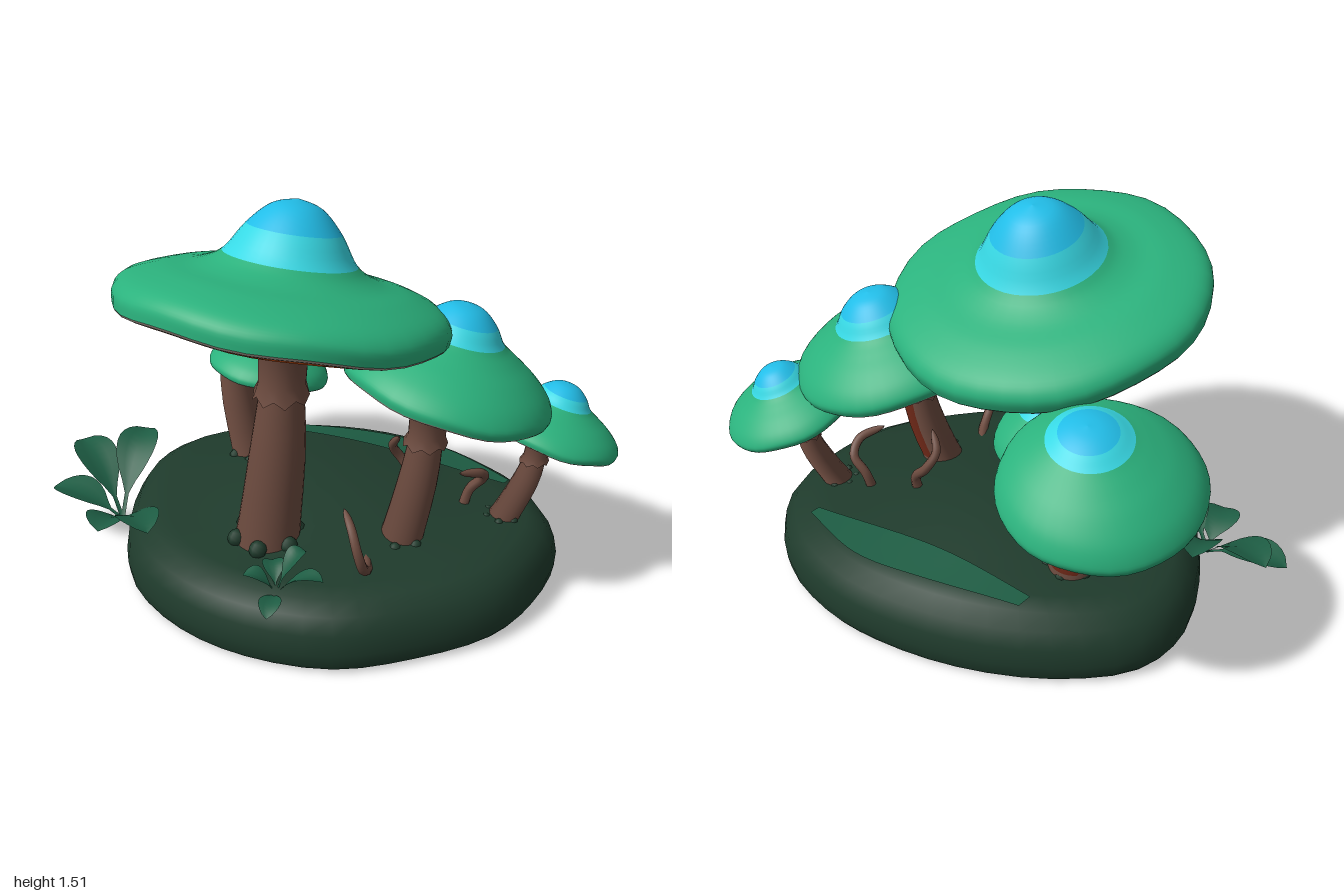
import * as THREE from 'three';

const V = (x, y, z) => new THREE.Vector3(x, y, z);
const paint = (name, color, side = THREE.FrontSide) => {
  const m = new THREE.MeshStandardMaterial({ color, side });
  m.name = name;
  return m;
};

const mats = {
  cap: paint('cap green', 0x2bb27d),
  cyan: paint('light cyan', 0x37d8e4),
  blue: paint('crown blue', 0x22bfea),
  gills: paint('gill orange brown', 0xd8530c),
  lip: paint('lip grey', 0xa3958a),
  stem: paint('stem brown', 0x6e4c40, THREE.DoubleSide),
  red: paint('stem red brown', 0x6a2616, THREE.DoubleSide),
  soil: paint('dark moss', 0x1f3b2c),
  leaf: paint('leaf green', 0x1d5c43, THREE.DoubleSide),
  under: paint('underside brown', 0x50291e),
};

function mesh(name, geometry, material) {
  const m = new THREE.Mesh(geometry, material);
  m.name = name;
  return m;
}

// Moves every vertex by a rule
function warp(geo, rule) {
  const p = geo.attributes.position, v = V(0, 0, 0);
  for (let i = 0; i < p.count; i++) {
    v.fromBufferAttribute(p, i);
    rule(v, i);
    p.setXYZ(i, v.x, v.y, v.z);
  }
  return geo;
}

// Height of the mossy ground
const ground = (x, z) => 0.24 + 0.095 * Math.exp(-(x * x + (z + 0.1) ** 2) / 0.25);

// Rounded mound with an egg-shaped outline
function makeGround() {
  const outline = new THREE.CatmullRomCurve3([
    [0.87, -0.2], [0.85, 0.05], [0.7, 0.33], [0.5, 0.56], [0.2, 0.69], [-0.1, 0.71], [-0.4, 0.62], [-0.63, 0.41],
    [-0.82, 0.08], [-0.82, -0.18], [-0.62, -0.44], [-0.32, -0.64], [0, -0.75], [0.25, -0.775], [0.55, -0.71], [0.8, -0.5],
  ].map(([x, z]) => V(x, 0, z)), true);
  const N = 48, rim = outline.getPoints(N).slice(0, N);
  const skin = (rings) => {
    const pos = [], idx = [];
    rings.forEach(([s, y]) => rim.forEach((p) => {
      const x = p.x * s, z = p.z * s;
      pos.push(x, typeof y === 'number' ? y : y(x, z), z);
    }));
    for (let j = 0; j < rings.length - 1; j++) for (let i = 0; i < N; i++) {
      const a = j * N + i, b = j * N + (i + 1) % N;
      idx.push(a, a + N, b, b, a + N, b + N);
    }
    const g = new THREE.BufferGeometry();
    g.setAttribute('position', new THREE.Float32BufferAttribute(pos, 3));
    g.setIndex(idx);
    g.computeVertexNormals();
    return g;
  };
  const g = new THREE.Group();
  g.name = 'ground';
  g.add(mesh('mossyMound', skin([[0.975, 0.012], [0.99, 0.03], [1, 0.08], [0.985, 0.15], [0.94, 0.21],
    [0.87, (x, z) => ground(x, z) * 0.985],
    ...[0.77, 0.66, 0.55, 0.44, 0.33, 0.22, 0.11, 0.001].map((s) => [s, ground])]), mats.soil));
  g.add(mesh('groundUnderside', skin([[0.001, 0], [0.94, 0], [0.975, 0.012]]), mats.under));

  // Lighter moss patch lying on the back of the mound
  const edge = (pts) => new THREE.SplineCurve(pts.map((p) => new THREE.Vector2(...p)));
  const outer = edge([[-0.45, -0.44], [-0.1, -0.58], [0.2, -0.65], [0.52, -0.6]]);
  const inner = edge([[-0.45, -0.38], [-0.1, -0.43], [0.2, -0.49], [0.52, -0.56]]);
  const patch = warp(new THREE.PlaneGeometry(1, 1, 24, 6), (v) => {
    const t = v.x + 0.5, q = inner.getPoint(t).lerp(outer.getPoint(t), v.y + 0.5);
    v.set(q.x, ground(q.x, q.y) + 0.007, q.y);
  });
  patch.computeVertexNormals();
  g.add(mesh('mossPatch', patch, mats.leaf));
  return g;
}

// Cap profiles in units of the cap radius: rim first, crown last
const profile = (pts) => new THREE.SplineCurve(pts.map((p) => new THREE.Vector2(...p))).getPoints(40);
const brimmed = profile([[1, 0], [1.005, 0.09], [0.93, 0.17], [0.75, 0.24], [0.55, 0.285],
  [0.405, 0.365], [0.285, 0.54], [0.15, 0.67], [0, 0.715]]);
const peaked = profile([[1, 0], [1.01, 0.08], [0.92, 0.2], [0.76, 0.32], [0.58, 0.42],
  [0.43, 0.51], [0.32, 0.645], [0.17, 0.755], [0, 0.79]]);
const domed = profile([[1, 0], [1.01, 0.09], [0.92, 0.24], [0.76, 0.38], [0.58, 0.49],
  [0.42, 0.575], [0.29, 0.655], [0.15, 0.705], [0, 0.725]]);

function makeCap({ center, slope, r, shape, tall = 1, shift = [0, 0], phase }) {
  const cap = new THREE.Group();
  cap.name = 'cap';
  const ring = (name, pts, mat) => {
    const geo = new THREE.LatheGeometry(pts.map((p) => new THREE.Vector2(Math.max(p.x, 0) * r, p.y * r * tall)), 40);
    // Wavy rim and a crown that sits a little off centre
    warp(geo, (v) => {
      const d = Math.hypot(v.x, v.z) / r, a = Math.atan2(v.x, v.z), k = v.y > 0 ? Math.max(0, 1 - d * d) : 0;
      v.y += r * d ** 4 * (0.01 * Math.sin(3 * a + phase) + 0.01 * Math.sin(7 * a + 2 * phase));
      v.x += shift[0] * k;
      v.z += shift[1] * k;
    });
    cap.add(mesh(name, geo, mat));
  };
  const flat = (...pts) => pts.map(([x, y]) => ({ x, y }));
  ring('gills', flat([0, -0.1], [0.3, -0.1], [0.6, -0.09], [0.8, -0.07], [0.97, -0.022]), mats.gills);
  ring('capLip', flat([0.97, -0.022], [0.99, -0.014], [1, 0.002]), mats.lip);
  ring('capBrim', shape.slice(0, 26), mats.cap);
  ring('capBand', shape.slice(25, 31), mats.cyan);
  ring('capCrown', shape.slice(30), mats.blue);
  cap.position.set(...center);
  cap.quaternion.setFromUnitVectors(V(0, 1, 0), V(-slope[0], 1, -slope[1]).normalize());
  return cap;
}

function makeStem({ base, top, r0, r1, stain }) {
  const stem = new THREE.Group();
  stem.name = 'stem';
  const h = top[1] - base[1];
  // Leans the upright stem from its foot to its head
  const lean = (geo) => warp(geo, (v) => {
    const t = v.y / h, s = t + 0.18 * Math.sin(Math.PI * t);
    v.set(v.x + base[0] + (top[0] - base[0]) * s, v.y + base[1], v.z + base[2] + (top[2] - base[2]) * s);
  });
  const shaft = [[1.2, 0], [1.02, 0.12], [0.9, 0.25], [0.75, 0.4], [0.5, 0.55], [0.15, 0.72], [0, 0.85], [0.1, 1]]
    .map(([k, t]) => new THREE.Vector2(r1 + (r0 - r1) * k, t * h));
  const part = (name, pts, mat, start, length) =>
    stem.add(mesh(name, lean(new THREE.LatheGeometry(pts, 18, start, length)), mat));
  part('stemShaft', shaft, mats.stem, Math.PI + stain, 2 * (Math.PI - stain));
  // Reddish stain up the back, between foot and collar
  if (stain) {
    part('stemBackFoot', shaft.slice(0, 2), mats.stem, Math.PI - stain, 2 * stain);
    part('stemBackStain', shaft.slice(1, 6), mats.red, Math.PI - stain, 2 * stain);
    part('stemBackHead', shaft.slice(5), mats.stem, Math.PI - stain, 2 * stain);
  }

  // Ragged collar under the cap
  const skirt = [[1.38, 0.68], [1.15, 0.76], [1.2, 0.88], [1.5, 0.98]].map(([k, t]) => new THREE.Vector2(r1 * k, t * h));
  const collar = new THREE.LatheGeometry(skirt, 16);
  warp(collar, (v, i) => { if (i % skirt.length === 0 && (i / skirt.length) % 2) v.y += 0.035 * h; });
  stem.add(mesh('collar', lean(collar), mats.stem));

  // Mossy teeth gripping the foot
  for (let i = 0; i < 6; i++) {
    const a = i * Math.PI / 3 + 0.4, tooth = new THREE.SphereGeometry(r0 * 0.3, 8, 6);
    tooth.translate(base[0] + Math.sin(a) * r0, base[1] + r0 * 0.3, base[2] + Math.cos(a) * r0);
    stem.add(mesh('footMoss', tooth, mats.soil));
  }
  return stem;
}

// Arched leaf from base to tip, with a narrow stalk and a folded blade
function makeLeaf(from, to, width) {
  const a = V(...from), b = V(...to), mid = a.clone().lerp(b, 0.55);
  mid.y = Math.max(a.y, b.y) + 0.04;
  const spine = new THREE.QuadraticBezierCurve3(a, mid, b);
  const side = V(b.z - a.z, 0, a.x - b.x).normalize();
  const geo = warp(new THREE.PlaneGeometry(1, 1, 4, 12), (v) => {
    const t = v.y + 0.5, u = v.x;
    const blade = Math.sin(Math.PI * Math.max(0, (t - 0.2) / 0.8));
    const w = width * Math.max(t < 0.98 ? 0.1 : 0, Math.abs(blade) ** 0.65);
    v.copy(spine.getPoint(t)).addScaledVector(side, u * w);
    v.y += Math.abs(u) * w * 0.3;
  });
  geo.computeVertexNormals();
  return mesh('leaf', geo, mats.leaf);
}

export function createModel() {
  const model = new THREE.Group();
  model.name = 'mushroomCluster';
  model.add(makeGround());

  const mushrooms = [
    { name: 'tallMushroom', center: [-0.01, 1.095, 0.188], slope: [0, 0.245], r: 0.597, shape: brimmed, phase: 1,
      base: [0.02, 0.25, 0.33], top: [0.01, 1.06, 0.2], r0: 0.115, r1: 0.076, stain: 0.95 },
    { name: 'leftMushroom', center: [0.465, 0.815, -0.165], slope: [-0.17, 0.22], r: 0.385, shape: peaked, tall: 1.06, shift: [-0.035, -0.04], phase: 2,
      base: [0.41, 0.24, 0.03], top: [0.44, 0.79, -0.11], r0: 0.08, r1: 0.06, stain: 0.4 },
    { name: 'smallLeftMushroom', center: [0.735, 0.595, -0.48], slope: [-0.2, 0.28], r: 0.262, shape: peaked, phase: 3,
      base: [0.62, 0.23, -0.36], top: [0.71, 0.58, -0.47], r0: 0.06, r1: 0.04, stain: 0 },
    { name: 'rightMushroom', center: [-0.645, 0.785, -0.245], slope: [0.13, 0.2], r: 0.355, shape: domed, shift: [0.07, 0.01], phase: 4,
      base: [-0.42, 0.25, -0.14], top: [-0.61, 0.765, -0.22], r0: 0.085, r1: 0.056, stain: 0.9 },
    { name: 'smallRightMushroom', center: [-0.27, 0.73, -0.05], slope: [-0.1, 0.2], r: 0.23, shape: domed, tall: 0.93, shift: [0.03, 0], phase: 5,
      base: [-0.19, 0.28, 0.06], top: [-0.21, 0.71, -0.03], r0: 0.06, r1: 0.046, stain: 0.9 },
  ];
  for (const m of mushrooms) {
    const g = new THREE.Group();
    g.name = m.name;
    g.add(makeStem(m), makeCap(m));
    model.add(g);
  }

  // Leafy plants on the front edge
  const plants = [
    { name: 'largePlant', at: [-0.66, 0.13, 0.41], w: 0.165,
      tips: [[-1, 0.33, 0.28], [-0.98, 0.2, 0.47], [-0.8, 0.37, 0.1], [-0.59, 0.2, 0.61], [-0.37, 0.25, 0.56]] },
    { name: 'smallPlant', at: [0.24, 0.23, 0.55], w: 0.08,
      tips: [[0.13, 0.29, 0.6], [0.41, 0.32, 0.5], [0.28, 0.36, 0.43], [0.3, 0.22, 0.68], [0.15, 0.29, 0.46]] },
  ];
  for (const { name, at, w, tips } of plants) {
    const g = new THREE.Group();
    g.name = name;
    tips.forEach((t) => g.add(makeLeaf(at, t, w)));
    model.add(g);
  }

  // Curling tendrils, thinning toward the tip
  const tendrils = [
    [[0.3, 0.25, -0.22], [0.3, 0.35, -0.24], [0.24, 0.42, -0.24], [0.22, 0.49, -0.2], [0.27, 0.56, -0.17]],
    [[0.36, 0.25, 0.18], [0.44, 0.27, 0.28], [0.47, 0.32, 0.35], [0.46, 0.39, 0.37], [0.42, 0.46, 0.35], [0.35, 0.5, 0.3]],
    [[0.47, 0.24, -0.32], [0.49, 0.33, -0.34], [0.54, 0.39, -0.35], [0.56, 0.44, -0.3], [0.52, 0.47, -0.2]],
  ];
  for (const pts of tendrils) {
    const path = new THREE.CatmullRomCurve3(pts.map((p) => V(...p)));
    const seg = 28, sides = 8, geo = new THREE.TubeGeometry(path, seg, 0.021, sides);
    warp(geo, (v, i) => {
      const t = Math.floor(i / (sides + 1)) / seg, c = path.getPointAt(t);
      v.sub(c).multiplyScalar(1 - 0.2 * t - 0.8 * t ** 16).add(c);
    });
    model.add(mesh('tendril', geo, mats.stem));
  }
  return model;
}
